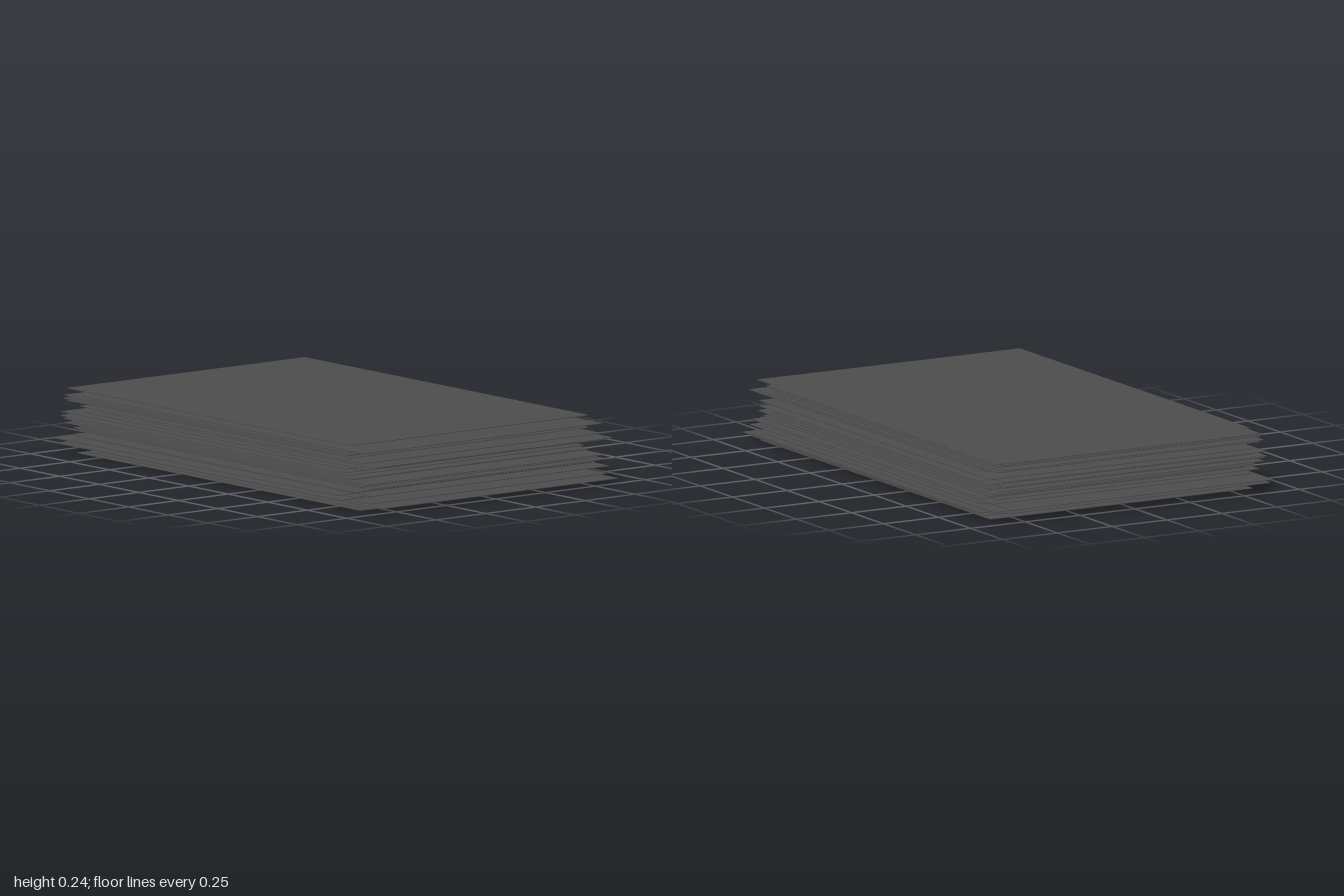
import * as THREE from 'three';

const WIDTH = 1.79, DEPTH = 1.195, THICK = 0.003, HEIGHT = 0.244;

// Sideways shift of each sheet from bottom to top: [x, z]
const SHIFTS = [
  [0.0, 0.0], [0.04, -0.01], [0.1, -0.022], [0.02, -0.03], [-0.08, 0.036],
  [-0.07, -0.025], [-0.105, 0.034], [0.04, -0.025], [-0.03, -0.01], [0.0, 0.03],
  [0.02, -0.028], [0.0, 0.0], [-0.01, 0.008], [0.05, 0.018], [-0.05, 0.022],
  [-0.02, 0.026], [-0.06, 0.022], [-0.08, 0.02], [-0.05, -0.036], [-0.07, 0.022],
  [-0.03, -0.022], [0.08, 0.03], [0.105, 0.01], [0.03, 0.01], [-0.07, -0.008],
  [-0.08, 0.004], [-0.05, 0.008], [-0.06, 0.016], [0.045, 0.014], [-0.105, -0.034],
];

export function createModel() {
  const stack = new THREE.Group();
  stack.name = 'sheetStack';
  const material = new THREE.MeshStandardMaterial({ color: 0x4d4d4d });
  const geometry = new THREE.BoxGeometry(WIDTH, THICK, DEPTH);
  const step = (HEIGHT - THICK) / (SHIFTS.length - 1);

  // Loose sheets, evenly spaced in height
  SHIFTS.forEach(([x, z], i) => {
    const sheet = new THREE.Mesh(geometry, material);
    sheet.name = `sheet${i + 1}`;
    sheet.position.set(x, THICK / 2 + i * step, z);
    stack.add(sheet);
  });
  return stack;
}
